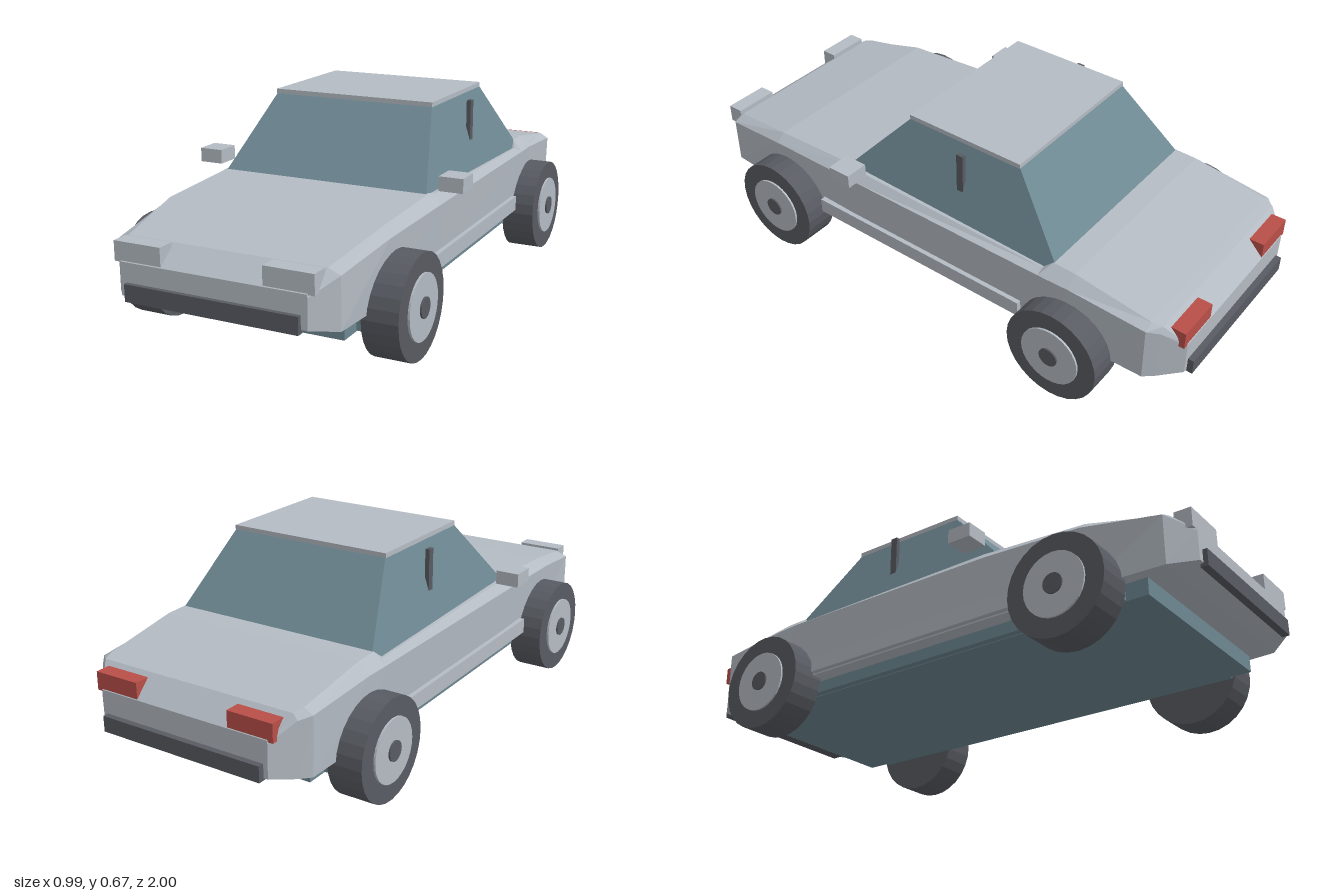
import * as THREE from 'three';

const mat = (name, color) => {
  const m = new THREE.MeshStandardMaterial({ color, flatShading: true });
  m.name = name;
  return m;
};

// Hull through six-sided sections: [z, bottomX, bottomY, shoulderX, shoulderY, topX, topY], front to back
function loft(sections) {
  const rings = sections.map(([z, xb, yb, xs, ys, xt, yt]) => [
    [-xb, yb, z], [xb, yb, z], [xs, ys, z], [xt, yt, z], [-xt, yt, z], [-xs, ys, z],
  ]);
  const pos = [];
  const tri = (a, b, c) => pos.push(...a, ...b, ...c);
  for (let i = 0; i < rings.length - 1; i++) {
    const f = rings[i], r = rings[i + 1];
    for (let j = 0; j < 6; j++) {
      const k = (j + 1) % 6;
      tri(f[j], r[k], f[k]);
      tri(f[j], r[j], r[k]);
    }
  }
  const front = rings[0], back = rings[rings.length - 1];
  for (let k = 1; k < 5; k++) {
    tri(front[0], front[k], front[k + 1]);
    tri(back[0], back[k + 1], back[k]);
  }
  const g = new THREE.BufferGeometry();
  g.setAttribute('position', new THREE.Float32BufferAttribute(pos, 3));
  g.computeVertexNormals();
  return g;
}

export function createModel() {
  const car = new THREE.Group();
  car.name = 'car';
  const paint = mat('silver paint', 0xb4bbc3);
  const glass = mat('blue grey glass', 0x6e8893);
  const dark = mat('dark rubber', 0x585b62);
  const red = mat('red lamp', 0xb94f48);

  const add = (name, geo, material, parent = car) => {
    const m = new THREE.Mesh(geo, material);
    m.name = name;
    parent.add(m);
    return m;
  };
  // Box given by its limits on each axis
  const box = (name, material, [x0, x1], [y0, y1], [z0, z1]) => {
    const m = add(name, new THREE.BoxGeometry(x1 - x0, y1 - y0, z1 - z0), material);
    m.position.set((x0 + x1) / 2, (y0 + y1) / 2, (z0 + z1) / 2);
    return m;
  };

  // Body shell with hood, fenders and trunk
  add('body', loft([
    [0.985, 0.31, 0.2, 0.312, 0.295, 0.31, 0.305],
    [0.91, 0.375, 0.182, 0.375, 0.345, 0.335, 0.362],
    [0.65, 0.39, 0.18, 0.402, 0.38, 0.37, 0.408],
    [0.3, 0.4, 0.178, 0.412, 0.39, 0.375, 0.425],
    [0.28, 0.4, 0.178, 0.412, 0.39, 0.385, 0.42],
    [-0.5, 0.4, 0.178, 0.412, 0.392, 0.385, 0.403],
    [-0.53, 0.4, 0.178, 0.412, 0.392, 0.37, 0.43],
    [-0.61, 0.4, 0.178, 0.408, 0.39, 0.37, 0.428],
    [-0.88, 0.392, 0.175, 0.397, 0.368, 0.365, 0.385],
    [-0.915, 0.365, 0.178, 0.368, 0.358, 0.355, 0.378],
    [-0.98, 0.31, 0.19, 0.312, 0.3, 0.31, 0.31],
  ]), paint);

  // Tapered glasshouse
  const cabin = new THREE.BoxGeometry(1, 1, 1);
  const p = cabin.attributes.position;
  for (let i = 0; i < p.count; i++) {
    const top = p.getY(i) > 0;
    const front = p.getZ(i) > 0;
    p.setXYZ(i, Math.sign(p.getX(i)) * (top ? 0.293 : 0.377), top ? 0.66 : 0.4,
      front ? (top ? 0.098 : 0.338) : (top ? -0.342 : -0.557));
  }
  cabin.computeVertexNormals();
  add('glasshouse', cabin, glass);
  box('roof', paint, [-0.295, 0.295], [0.658, 0.674], [-0.343, 0.1]);

  // Underbody
  box('floor', glass, [-0.368, 0.368], [0.125, 0.165], [-0.76, 0.76]);
  box('floorEnds', glass, [-0.345, 0.345], [0.122, 0.178], [-0.83, 0.835]);

  // Bumpers
  box('frontBumper', dark, [-0.29, 0.29], [0.188, 0.243], [0.975, 1]);
  box('rearBumper', dark, [-0.295, 0.295], [0.183, 0.235], [-1, -0.955]);

  // L-shaped tail lamp, drawn in side profile
  const lampShape = new THREE.Shape([
    [0.92, 0.338], [0.955, 0.335], [0.955, 0.305], [0.978, 0.305], [0.978, 0.365], [0.92, 0.365],
  ].map(([z, y]) => new THREE.Vector2(z, y)));
  const lampGeo = new THREE.ExtrudeGeometry(lampShape, { depth: 0.16, bevelEnabled: false });
  lampGeo.rotateY(Math.PI / 2);

  const wheelParts = [
    ['tyre', 0.167, 0.365, 0.484, dark],
    ['wheelDisc', 0.105, 0.44, 0.491, paint],
    ['wheelCap', 0.033, 0.44, 0.497, dark],
  ];

  for (const s of [-1, 1]) {
    const side = s > 0 ? 'left' : 'right';
    const span = (a, b) => (s > 0 ? [a, b] : [-b, -a]);

    box(side + 'Headlight', paint, span(0.17, 0.333), [0.303, 0.366], [0.925, 0.982]);
    add(side + 'TailLamp', lampGeo, red).position.x = s > 0 ? 0.17 : -0.33;
    box(side + 'Mirror', paint, span(0.404, 0.487), [0.435, 0.483], [0.215, 0.3]);
    box(side + 'Pillar', dark, span(0.328, 0.343), [0.49, 0.645], [-0.155, -0.13]);
    box(side + 'Sill', paint, span(0.385, 0.419), [0.183, 0.236], [-0.432, 0.436]);

    // Wheels
    for (const z of [0.606, -0.606]) {
      const wheel = new THREE.Group();
      wheel.name = side + (z > 0 ? 'FrontWheel' : 'RearWheel');
      wheel.position.set(0, 0.167, z);
      for (const [name, r, x0, x1, material] of wheelParts) {
        const g = new THREE.CylinderGeometry(r, r, x1 - x0, 28).rotateZ(Math.PI / 2);
        add(name, g, material, wheel).position.x = s * (x0 + x1) / 2;
      }
      car.add(wheel);
    }
  }
  return car;
}
